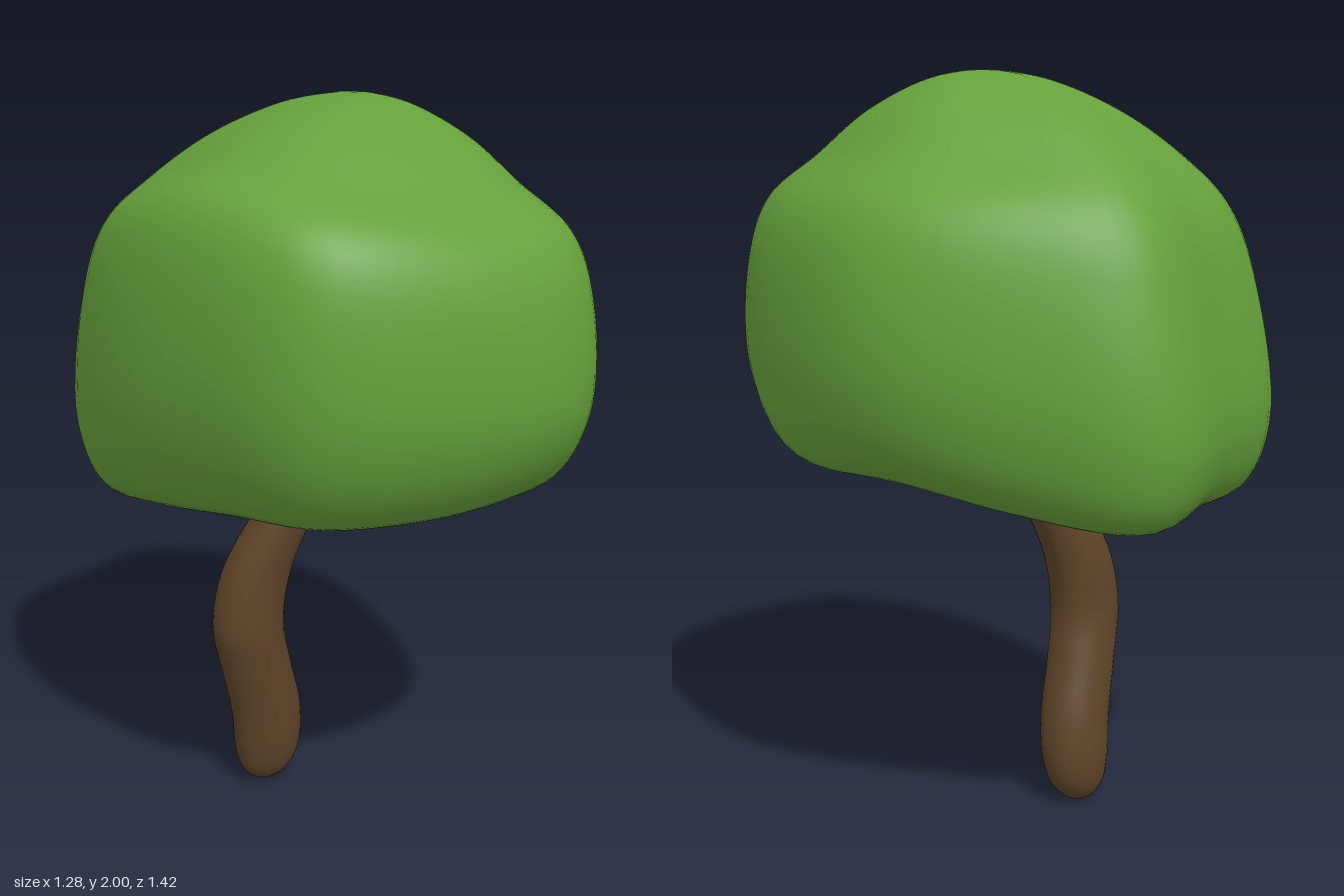
import * as THREE from 'three';
import { mergeVertices } from 'three/addons/utils/BufferGeometryUtils.js';

const V = (x, y, z) => new THREE.Vector3(x, y, z);

// Smooth skin through control columns; each runs top to bottom, columns go round from +z to +x.
function loft(columns, around, down) {
  const curves = columns.map((c) => new THREE.CatmullRomCurve3(c, false, 'centripetal'));
  const positions = [], index = [];
  for (let i = 0; i <= down; i++) {
    const ring = new THREE.CatmullRomCurve3(curves.map((c) => c.getPoint(i / down)), true, 'centripetal');
    for (let j = 0; j < around; j++) positions.push(...ring.getPoint(j / around).toArray());
  }
  for (let i = 0; i < down; i++) {
    for (let j = 0; j < around; j++) {
      const k = (j + 1) % around;
      const a = i * around + j, b = a + around, d = i * around + k, c = d + around;
      index.push(a, b, c, a, c, d);
    }
  }
  const geometry = new THREE.BufferGeometry();
  geometry.setAttribute('position', new THREE.Float32BufferAttribute(positions, 3));
  geometry.setIndex(index);
  const merged = mergeVertices(geometry, 1e-5);
  merged.computeVertexNormals();
  return merged;
}

// Canopy outline: x, z, then heights of shoulder, upper side, lower side, lower edge, underside,
// and the reach of the upper side and of the lower edge
const OUTLINE = [
  [0.03, 0.70, 1.66, 1.50, 1.24, 1.06, 0.96, 0.985, 0.83],
  [0.25, 0.62, 1.67, 1.51, 1.22, 1.03, 0.96, 0.985, 0.85],
  [0.48, 0.37, 1.67, 1.53, 1.19, 1.01, 0.96, 0.985, 0.88],
  [0.625, 0.02, 1.66, 1.51, 1.23, 1.02, 0.95, 0.985, 0.84],
  [0.54, -0.36, 1.66, 1.51, 1.15, 0.95, 0.91, 0.97, 0.85],
  [0.38, -0.675, 1.65, 1.49, 1.08, 0.90, 0.88, 0.92, 0.89],
  [0.03, -0.705, 1.65, 1.49, 1.08, 0.90, 0.87, 0.91, 0.87],
  [-0.34, -0.675, 1.66, 1.50, 1.08, 0.90, 0.88, 0.92, 0.89],
  [-0.52, -0.40, 1.73, 1.59, 1.17, 0.96, 0.91, 0.97, 0.85],
  [-0.625, 0.0, 1.80, 1.67, 1.28, 1.03, 0.95, 0.985, 0.83],
  [-0.595, 0.38, 1.77, 1.65, 1.28, 1.06, 0.96, 0.985, 0.84],
  [-0.28, 0.62, 1.71, 1.57, 1.26, 1.06, 0.96, 0.985, 0.83],
];

function canopyColumn([x, z, shoulder, upper, lower, edge, under, reach, edgeReach]) {
  const c = 0.02;
  const at = (f, y) => V(c + (x - c) * f, y, c + (z - c) * f);
  const drop = (2 - shoulder) * 0.38;
  const dome = (f) => at(f, 2 - drop * (f / 0.52) ** 2);
  return [
    dome(0), dome(0.1), dome(0.25), dome(0.48), dome(0.68),
    at(reach - 0.09, shoulder), at(reach, upper), at(0.993, lower),
    at(edgeReach, edge), at(0.5, under), at(0, 0.945),
  ];
}

// Trunk rings: height, centre x, centre z, width scale
const TRUNK = [
  [1.05, 0.0, -0.05, 0.75], [0.94, -0.043, -0.10, 0.82], [0.82, -0.098, -0.155, 0.92],
  [0.68, -0.148, -0.195, 0.99], [0.53, -0.168, -0.208, 1.01], [0.4, -0.137, -0.212, 1],
  [0.24, -0.092, -0.215, 1.01], [0.12, -0.08, -0.222, 0.96], [0.05, -0.08, -0.228, 0.76],
  [0.012, -0.08, -0.232, 0.4], [0, -0.08, -0.235, 0],
];

function trunkColumn(angle) {
  return TRUNK.map(([y, x, z, s]) => V(x + Math.sin(angle) * 0.108 * s, y, z + Math.cos(angle) * 0.092 * s));
}

export function createModel() {
  const model = new THREE.Group();
  model.name = 'tree';
  const add = (name, geometry, color) => {
    const mesh = new THREE.Mesh(geometry, new THREE.MeshStandardMaterial({ color }));
    mesh.name = name;
    model.add(mesh);
  };

  add('canopy', loft(OUTLINE.map(canopyColumn), 72, 80), 0x66a13b);
  const angles = Array.from({ length: 8 }, (_, i) => (i / 8) * Math.PI * 2);
  add('trunk', loft(angles.map(trunkColumn), 32, 50), 0x5f4429);
  return model;
}
